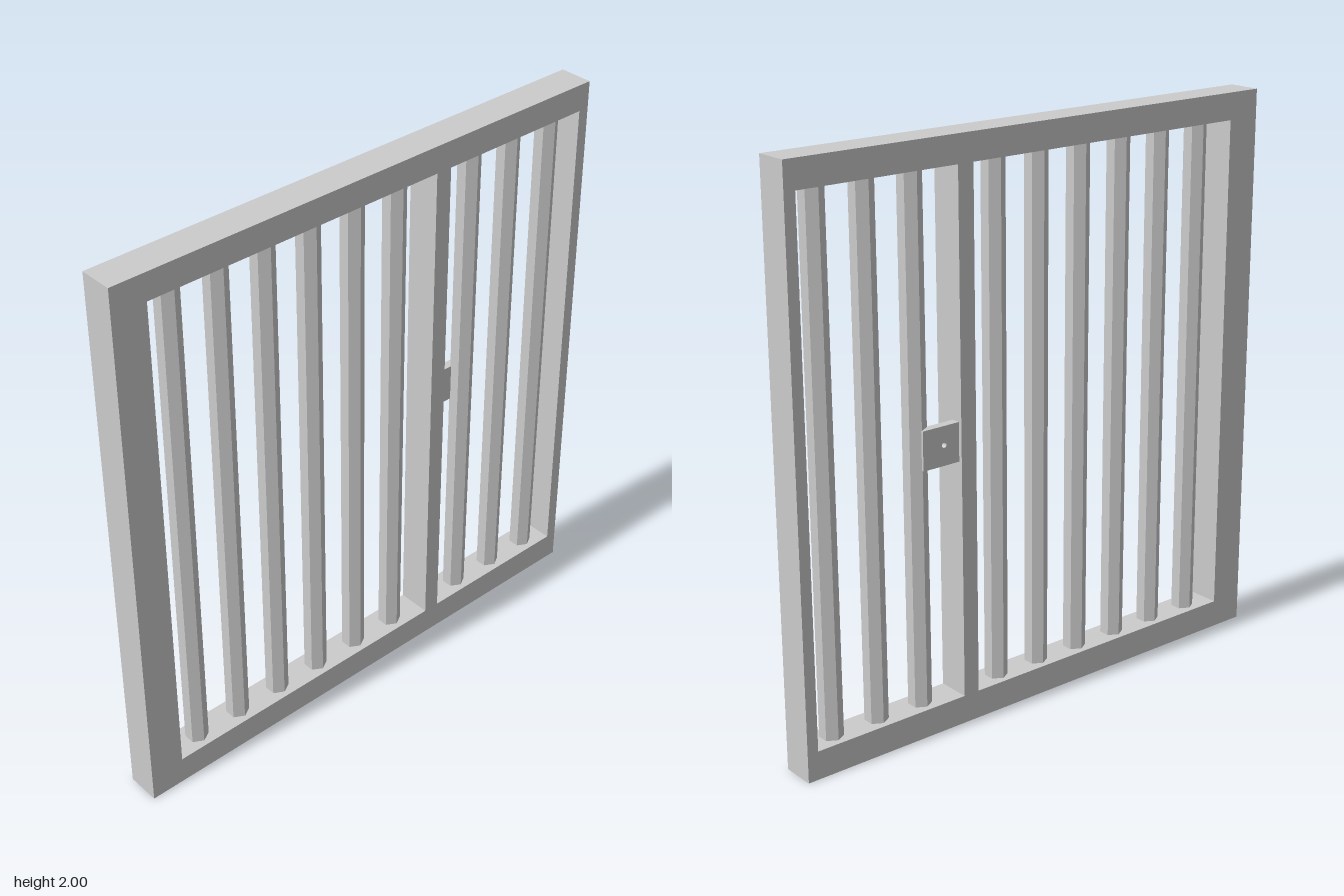
import * as THREE from 'three';

const material = new THREE.MeshStandardMaterial({ color: 0xcccccc, flatShading: true });

function rectPath(path, x0, x1, y0, y1) {
  path.moveTo(x0, y0);
  path.lineTo(x1, y0);
  path.lineTo(x1, y1);
  path.lineTo(x0, y1);
  path.closePath();
  return path;
}

// Extrude an outline with holes so that it spans z0 to z1
function plate(name, shape, z0, z1) {
  const geometry = new THREE.ExtrudeGeometry(shape, { depth: z1 - z0, bevelEnabled: false, curveSegments: 8 });
  geometry.translate(0, 0, z0);
  const mesh = new THREE.Mesh(geometry, material);
  mesh.name = name;
  return mesh;
}

export function createModel() {
  const group = new THREE.Group();
  group.name = 'barredGate';
  const bottom = 0.1, top = 1.905;

  // Outer frame and centre post, with one opening on each side of the post
  const frame = rectPath(new THREE.Shape(), -0.97, 0.97, 0, 2);
  frame.holes.push(rectPath(new THREE.Path(), -0.845, 0.28, bottom, top));
  frame.holes.push(rectPath(new THREE.Path(), 0.34, 0.93, bottom, top));
  group.add(plate('frame', frame, -0.06, 0.06));

  // Six-sided bars, one edge facing forward
  const bars = new THREE.Group();
  bars.name = 'bars';
  const barGeometry = new THREE.CylinderGeometry(0.04, 0.04, top - bottom + 0.02, 6);
  const addBars = (start, count) => {
    for (let i = 0; i < count; i++) {
      const bar = new THREE.Mesh(barGeometry, material);
      bar.name = 'bar';
      bar.position.set(start + i * 0.178, (top + bottom) / 2, 0);
      bars.add(bar);
    }
  };
  addBars(-0.735, 6);
  addBars(0.482, 3);
  group.add(bars);

  // Lock plate with a small keyhole, joining the post to the next bar
  const lock = rectPath(new THREE.Shape(), 0.335, 0.484, 0.935, 1.07);
  lock.holes.push(new THREE.Path().absarc(0.4, 1.005, 0.009, 0, Math.PI * 2, true));
  group.add(plate('lockPlate', lock, -0.047, -0.016));

  return group;
}
